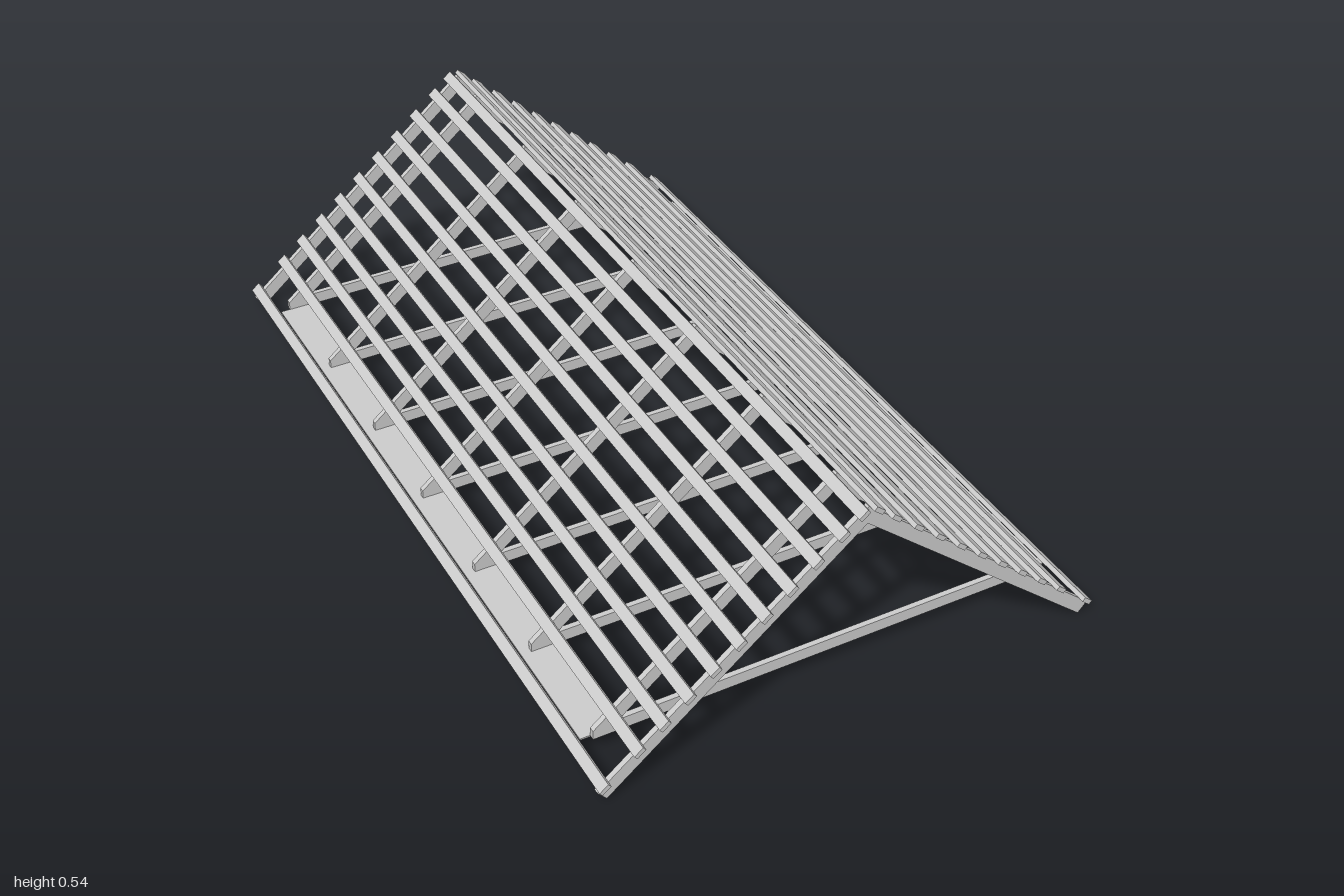
import * as THREE from 'three';

const material = new THREE.MeshStandardMaterial({ color: 0xcccccc, flatShading: true });
const SLOPE = THREE.MathUtils.degToRad(40);
const TAN = Math.tan(SLOPE);
const RIDGE_TOP = 0.531;      // top of rafters at the ridge
const RIDGE_UNDER = 0.488;    // underside of rafters at the ridge
const SEAT = 0.045;           // level of the wall plates and tie beams
const TIMBER = 0.013;         // rafter thickness along z

const topY = (x) => RIDGE_TOP - x * TAN;
const underX = (y) => (RIDGE_UNDER - y) / TAN;
const topX = (y) => (RIDGE_TOP - y) / TAN;

// Timber cut from an outline in the xy plane, centred on z
function cutTimber(name, points, z) {
  const shape = new THREE.Shape(points.map(([x, y]) => new THREE.Vector2(x, y)));
  const geometry = new THREE.ExtrudeGeometry(shape, { depth: TIMBER, bevelEnabled: false });
  const mesh = new THREE.Mesh(geometry.translate(0, 0, z - TIMBER / 2), material);
  mesh.name = name;
  return mesh;
}

function box(name, w, h, d, x, y, z) {
  const mesh = new THREE.Mesh(new THREE.BoxGeometry(w, h, d), material);
  mesh.name = name;
  mesh.position.set(x, y, z);
  return mesh;
}

export function createModel() {
  const model = new THREE.Group();
  model.name = 'roofFrame';

  // Rafter outlines: gable rafters have a square end, inner ones sit on the plate
  const endX = underX(0);
  const depth = (RIDGE_TOP - RIDGE_UNDER) * Math.cos(SLOPE);
  const gableOutline = [
    [0, RIDGE_UNDER], [endX, 0],
    [endX + depth * Math.sin(SLOPE), depth * Math.cos(SLOPE)], [0, RIDGE_TOP],
  ];
  const innerOutline = [
    [0, RIDGE_UNDER], [underX(SEAT), SEAT], [0.552, SEAT],
    [0.552, topY(0.552)], [0, RIDGE_TOP],
  ];

  // Distances of the batten centres from the ridge
  const battenX = [0.014];
  for (let i = 0; i < 9; i++) battenX.push(0.058 + i * 0.0565);
  battenX.push(0.588);

  const innerZ = [];
  for (let i = -3; i <= 3; i++) innerZ.push(i * 0.2875);

  for (const side of [1, -1]) {
    const slope = new THREE.Group();
    slope.name = side > 0 ? 'leftSlope' : 'rightSlope';
    const mirror = (outline) => outline.map(([x, y]) => [x * side, y]);

    for (const z of [-0.98, 0.98]) slope.add(cutTimber('gableRafter', mirror(gableOutline), z));
    for (const z of innerZ) slope.add(cutTimber('rafter', mirror(innerOutline), z));

    // Battens lie along the top faces of the rafters
    for (const x of battenX) {
      const lift = 0.005;
      const batten = box('batten', 0.026, 0.011, 2,
        side * (x + lift * Math.sin(SLOPE)), topY(x) + lift * Math.cos(SLOPE), 0);
      batten.rotation.z = -side * SLOPE;
      slope.add(batten);
    }

    // Thin wall plate under the rafter feet
    slope.add(box('wallPlate', 0.1, 0.004, 1.714, side * 0.526, SEAT, 0));
    model.add(slope);
  }

  // Tie beams, trimmed to the roof pitch
  const tieTop = 0.075;
  const tieEnd = 0.552;
  const tieOutline = [
    [-tieEnd, SEAT], [tieEnd, SEAT], [tieEnd, topY(tieEnd)], [topX(tieTop), tieTop],
    [-topX(tieTop), tieTop], [-tieEnd, topY(tieEnd)],
  ];
  for (const z of innerZ) model.add(cutTimber('tieBeam', tieOutline, z));

  return model;
}
